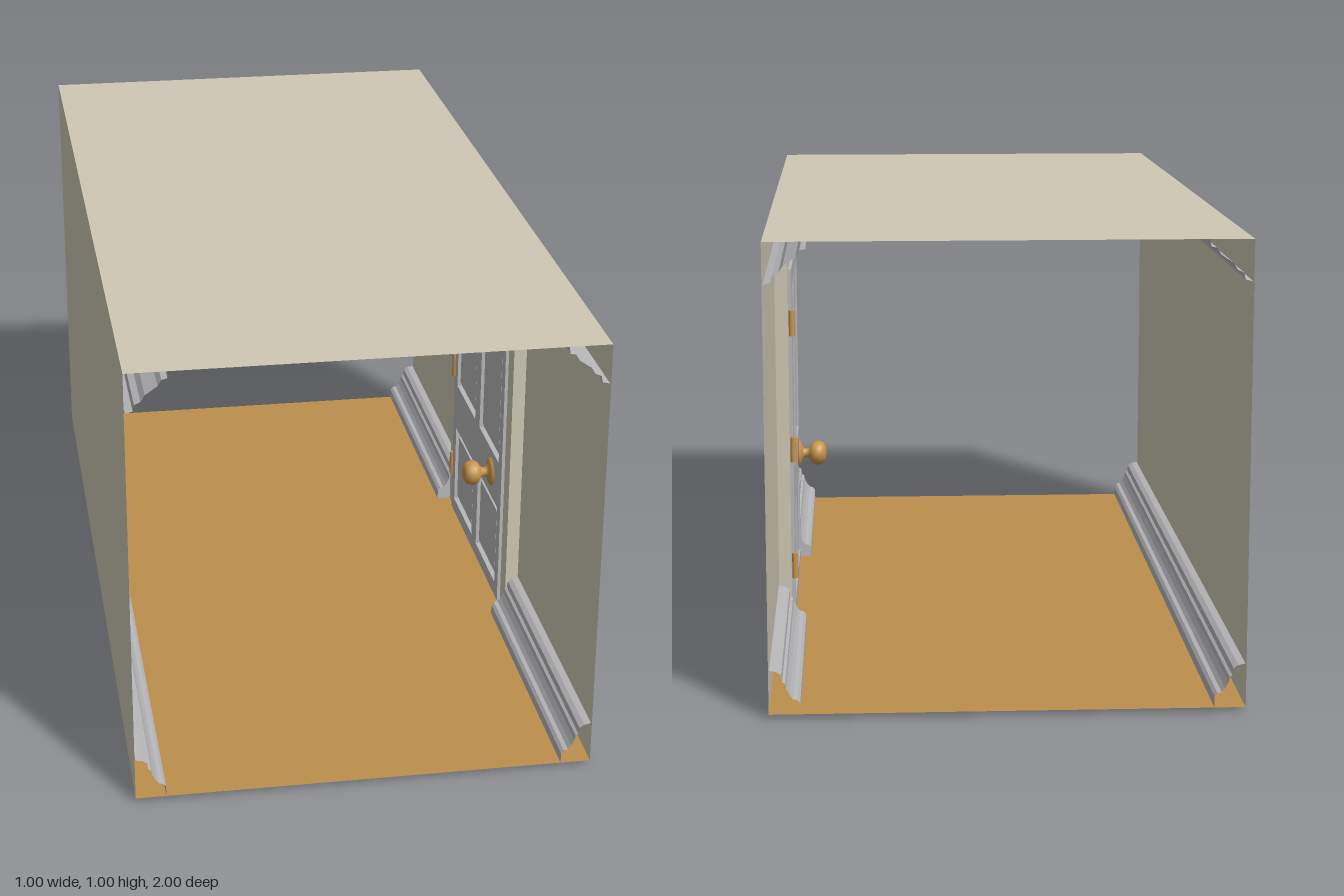
import * as THREE from 'three';

const mat = (name, color) => {
  const m = new THREE.MeshStandardMaterial({ color, side: THREE.DoubleSide });
  m.name = name;
  return m;
};

export function createModel() {
  const root = new THREE.Group();
  root.name = 'hallway';
  const wallPaint = mat('beige paint', 0xcfc8b4);
  const wood = mat('floor wood', 0xbd8f4c);
  const grey = mat('grey trim', 0xb8b8bb);
  const brass = mat('brass', 0xc8954a);

  const add = (parent, name, geo, material, x = 0, y = 0, z = 0) => {
    const mesh = new THREE.Mesh(geo, material);
    mesh.name = name;
    mesh.position.set(x, y, z);
    parent.add(mesh);
    return mesh;
  };
  const box = (parent, name, material, x0, x1, y0, y1, z0, z1) =>
    add(parent, name, new THREE.BoxGeometry(x1 - x0, y1 - y0, z1 - z0), material,
      (x0 + x1) / 2, (y0 + y1) / 2, (z0 + z1) / 2);

  // Shell: four thin panels, open at both ends
  const floorY = 0.01, ceilY = 1;
  add(root, 'floor', new THREE.PlaneGeometry(1, 2), wood, 0, floorY, 0).rotation.x = -Math.PI / 2;
  add(root, 'ceiling', new THREE.PlaneGeometry(1, 2), wallPaint, 0, ceilY, 0).rotation.x = -Math.PI / 2;
  for (const s of [-1, 1]) {
    const wall = add(root, s > 0 ? 'leftWall' : 'rightWall',
      new THREE.PlaneGeometry(2, ceilY - floorY), wallPaint, s * 0.5, (ceilY + floorY) / 2, 0);
    wall.rotation.y = s * Math.PI / 2;
  }

  // Mouldings: [distance from the wall, distance from floor or ceiling]
  const baseProfile = [[0.065, 0], [0.065, 0.024], [0.059, 0.031], [0.05, 0.033], [0.043, 0.042],
    [0.036, 0.055], [0.034, 0.066], [0.028, 0.07], [0.026, 0.085], [0.016, 0.092], [0.001, 0.095]];
  const crownProfile = [[0.09, 0.001], [0.088, 0.014], [0.076, 0.017], [0.068, 0.03], [0.054, 0.04],
    [0.042, 0.048], [0.033, 0.062], [0.02, 0.068], [0.017, 0.082], [0.001, 0.086]];

  // Open strip following a profile along z
  const strip = (pts, z0, z1) => {
    const pos = [];
    for (let i = 0; i < pts.length - 1; i++) {
      const [a, b] = [pts[i], pts[i + 1]];
      pos.push(...a, z0, ...a, z1, ...b, z1, ...a, z0, ...b, z1, ...b, z0);
    }
    const g = new THREE.BufferGeometry();
    g.setAttribute('position', new THREE.Float32BufferAttribute(pos, 3));
    g.computeVertexNormals();
    return g;
  };
  const place = (profile, side, y, up) =>
    profile.map(([out, h]) => [side * (0.499 - out), y + up * h]);

  for (const s of [-1, 1]) {
    // strip corners run clockwise on one side, so swap its ends
    const ends = (a, b) => (s > 0 ? [b, a] : [a, b]);
    add(root, 'crownMoulding', strip(place(crownProfile, s, ceilY - 0.001, -1), ...ends(1, -1)), grey);
    const base = place(baseProfile, s, floorY, 1);
    if (s < 0) {
      add(root, 'baseboard', strip(base, ...ends(-1, 1)), grey);
      continue;
    }
    // Baseboard interrupted by the door, capped beside the frame
    const cap = new THREE.Shape([...base, [0.499, floorY]].map(([x, y]) => new THREE.Vector2(x, y)));
    for (const e of [-1, 1]) {
      const [a, b] = e < 0 ? [-1, -0.32] : [0.32, 1];
      add(root, 'baseboard', strip(base, ...ends(a, b)), grey);
      add(root, 'baseboardEnd', new THREE.ShapeGeometry(cap), grey, 0, 0, e * 0.321);
    }
  }

  // Door frame
  const door = new THREE.Group();
  door.name = 'door';
  root.add(door);
  for (const s of [-1, 1]) {
    const z = [s * 0.27, s * 0.32].sort((a, b) => a - b);
    box(door, 'framePost', wallPaint, 0.467, 0.497, 0, 0.865, ...z);
  }
  box(door, 'frameLintel', wallPaint, 0.467, 0.497, 0.847, 0.865, -0.27, 0.27);
  box(door, 'frameCap', wallPaint, 0.467, 0.497, 0.865, 0.885, -0.32, 0.32);

  // Door leaf with four recessed panel openings
  const rect = (Type, z0, z1, y0, y1) => new Type([
    new THREE.Vector2(z0, y0), new THREE.Vector2(z1, y0),
    new THREE.Vector2(z1, y1), new THREE.Vector2(z0, y1)]);
  const leaf = rect(THREE.Shape, -0.268, 0.268, 0.015, 0.845);
  const panels = [];
  for (const z of [-0.235, 0.025])
    for (const [y0, y1] of [[0.05, 0.255], [0.375, 0.8]]) panels.push([z, z + 0.21, y0, y1]);
  leaf.holes = panels.map((p) => rect(THREE.Path, ...p));
  const leafGeo = new THREE.ExtrudeGeometry(leaf, { depth: 0.03, bevelEnabled: false });
  leafGeo.rotateY(-Math.PI / 2); // shape x becomes z, depth runs to -x
  add(door, 'doorLeaf', leafGeo, grey, 0.49, 0, 0);
  for (const [z0, z1, y0, y1] of panels) {
    box(door, 'panelBack', grey, 0.472, 0.488, y0, y1, z0, z1);
    box(door, 'raisedPanel', grey, 0.464, 0.472, y0 + 0.018, y1 - 0.018, z0 + 0.018, z1 - 0.018);
  }

  // Hinges
  for (const y of [0.14, 0.42, 0.72]) {
    add(door, 'hinge', new THREE.CylinderGeometry(0.007, 0.007, 0.06, 12), brass, 0.46, y, -0.271);
  }

  // Round knob turned about the x axis
  const knobProfile = [[0, 0], [0.035, 0], [0.035, 0.005], [0.028, 0.009], [0.016, 0.012],
    [0.011, 0.018], [0.012, 0.026], [0.017, 0.031], [0.026, 0.036], [0.03, 0.045],
    [0.03, 0.055], [0.026, 0.065], [0.016, 0.071], [0, 0.073]];
  const knob = add(door, 'knob', new THREE.LatheGeometry(
    knobProfile.map(([r, h]) => new THREE.Vector2(r, h)), 24), brass, 0.461, 0.32, 0.165);
  knob.rotation.z = Math.PI / 2;

  return root;
}
